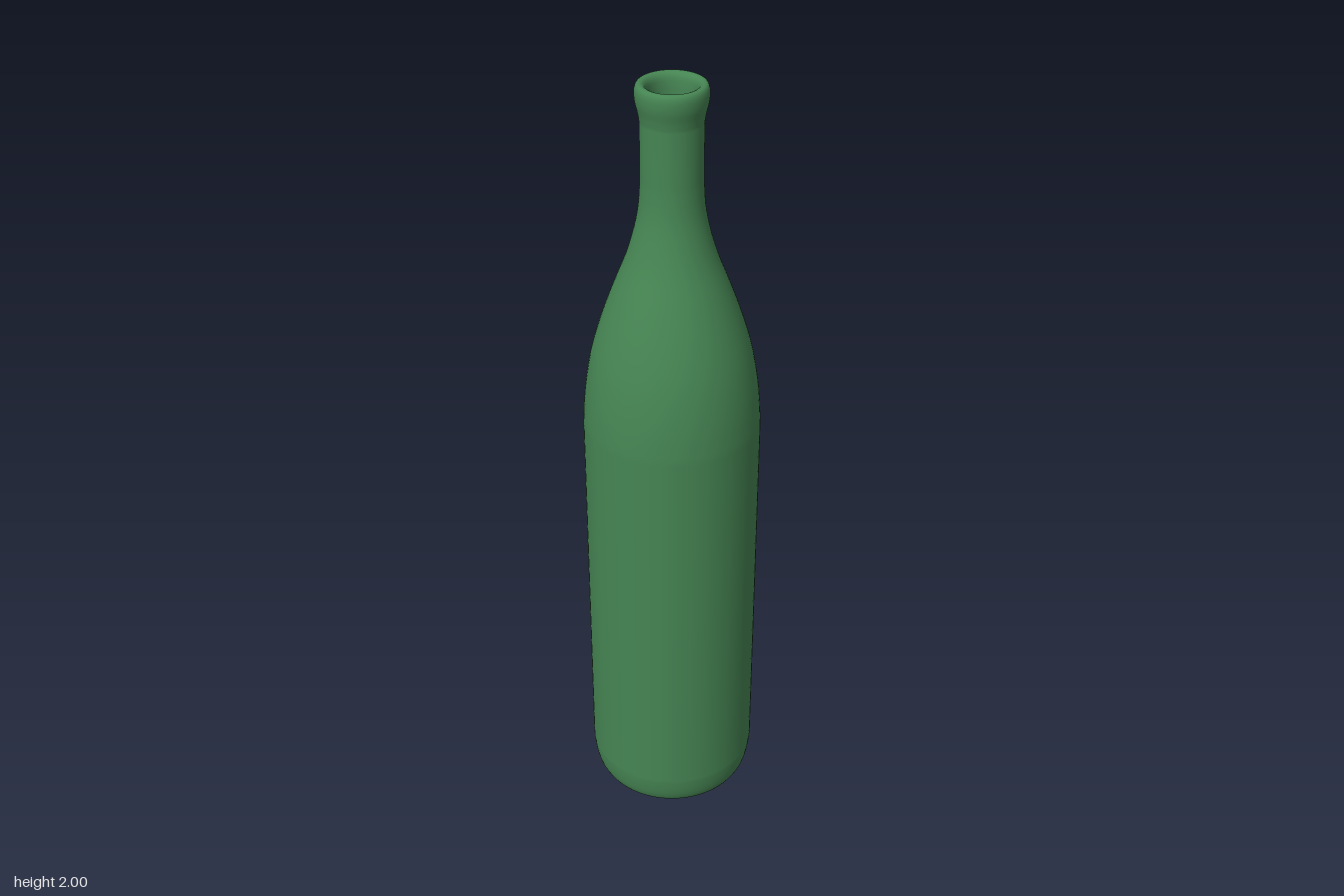
import * as THREE from 'three';

const glass = new THREE.MeshStandardMaterial({ color: 0x468553 });

// Smooth run of profile points (radius, height)
function curve(points, steps) {
  return new THREE.SplineCurve(points.map(([r, y]) => new THREE.Vector2(r, y))).getPoints(steps);
}

// Whole bottle wall: underside, outside, lip, inside, floor
function bottleGeometry() {
  const shoulder = [[0.2185, 1.13], [0.212, 1.22], [0.196, 1.32], [0.171, 1.41], [0.139, 1.5],
    [0.108, 1.58], [0.088, 1.65], [0.077, 1.71], [0.073, 1.78]];
  const profile = [
    ...curve([[0, 0.012], [0.1, 0.008], [0.165, 0], [0.192, 0.008], [0.207, 0.03], [0.215, 0.065], [0.2185, 0.1]], 16),
    ...curve(shoulder, 24),
    ...curve([[0.073, 1.91], [0.077, 1.935], [0.083, 1.96], [0.084, 1.985], [0.079, 1.998],
      [0.07, 2], [0.061, 1.994], [0.056, 1.975], [0.055, 1.92]], 20),
    ...curve(shoulder.map(([r, y]) => [r - 0.018, y]).reverse(), 20),
    ...curve([[0.2, 0.1], [0.19, 0.045], [0.16, 0.028], [0, 0.03]], 10),
  ];
  return new THREE.LatheGeometry(profile, 72).toNonIndexed();
}

// Shard centres on the glass: [name, angle from the front in degrees, height, radius]
const shardCentres = [
  ['neck', 0, 1.86, 0],
  ['shoulder', 55, 1.39, 0.11],
  ['backShoulder', 225, 1.14, 0.215],
  ['base', 0, 0, 0],
  ['frontUpper', 0, 0.89],
  ['frontMiddle', -2, 0.65],
  ['frontLower', 4, 0.39],
  ['leftUpper', 71, 0.97],
  ['leftBackUpper', 127, 1.0],
  ['leftFrontMiddle', 59, 0.76],
  ['leftMiddle', 105, 0.76],
  ['impactTop', 76, 0.71],
  ['impactFront', 62, 0.635],
  ['impactCentre', 89, 0.65],
  ['impactBack', 107, 0.645],
  ['impactChip', 96, 0.605],
  ['impactLowerFront', 71, 0.57],
  ['impactLowerBack', 101, 0.53],
  ['leftFrontLower', 62, 0.45],
  ['leftBackLower', 126, 0.35],
  ['leftBackMiddle', 132, 0.66],
  ['backMiddleLeft', 160, 0.74],
  ['backUpper', 180, 0.95],
  ['backMiddle', 225, 0.77],
  ['backLower', 215, 0.4],
  ['rightLower', 290, 0.45],
  ['rightUpper', 292, 0.95],
].map(([name, deg, y, r = 0.215]) => {
  const a = THREE.MathUtils.degToRad(deg);
  return { name, p: new THREE.Vector3(r * Math.sin(a), y, r * Math.cos(a)) };
});

// Keep the part of a polygon behind a plane; corners are [x, y, z, nx, ny, nz]
function clip(poly, plane) {
  const { normal: n, constant: c } = plane;
  const side = (v) => n.x * v[0] + n.y * v[1] + n.z * v[2] + c;
  const out = [];
  poly.forEach((a, i) => {
    const b = poly[(i + 1) % poly.length];
    const da = side(a), db = side(b);
    if (da <= 0) out.push(a);
    if ((da < 0 && db > 0) || (da > 0 && db < 0)) {
      const t = da / (da - db);
      out.push(a.map((v, k) => v + (b[k] - v) * t));
    }
  });
  return out;
}

// Cut out the region nearest to one shard centre
function shardGeometry(triangles, centre) {
  const planes = shardCentres.filter((s) => s !== centre).map((s) =>
    new THREE.Plane().setFromNormalAndCoplanarPoint(
      s.p.clone().sub(centre.p).normalize(), s.p.clone().add(centre.p).multiplyScalar(0.5)));
  const pos = [], nor = [];
  for (const tri of triangles) {
    let poly = tri;
    for (const plane of planes) {
      poly = clip(poly, plane);
      if (poly.length < 3) break;
    }
    for (let i = 1; i < poly.length - 1; i++) {
      for (const v of [poly[0], poly[i], poly[i + 1]]) {
        pos.push(v[0], v[1], v[2]);
        nor.push(v[3], v[4], v[5]);
      }
    }
  }
  const g = new THREE.BufferGeometry();
  g.setAttribute('position', new THREE.Float32BufferAttribute(pos, 3));
  g.setAttribute('normal', new THREE.Float32BufferAttribute(nor, 3));
  return g;
}

export function createModel() {
  const group = new THREE.Group();
  group.name = 'crackedBottle';

  // Collect the wall's triangles, leaving out the empty ones on the axis
  const { position, normal } = bottleGeometry().attributes;
  const triangles = [];
  const t = new THREE.Triangle();
  for (let i = 0; i < position.count; i += 3) {
    t.setFromAttributeAndIndices(position, i, i + 1, i + 2);
    if (t.getArea() < 1e-9) continue;
    triangles.push([i, i + 1, i + 2].map((k) => [
      position.getX(k), position.getY(k), position.getZ(k),
      normal.getX(k), normal.getY(k), normal.getZ(k)]));
  }

  // One mesh per shard, fitted together without gaps
  for (const centre of shardCentres) {
    const geometry = shardGeometry(triangles, centre);
    if (geometry.attributes.position.count === 0) continue;
    const mesh = new THREE.Mesh(geometry, glass);
    mesh.name = centre.name + 'Shard';
    group.add(mesh);
  }
  return group;
}
